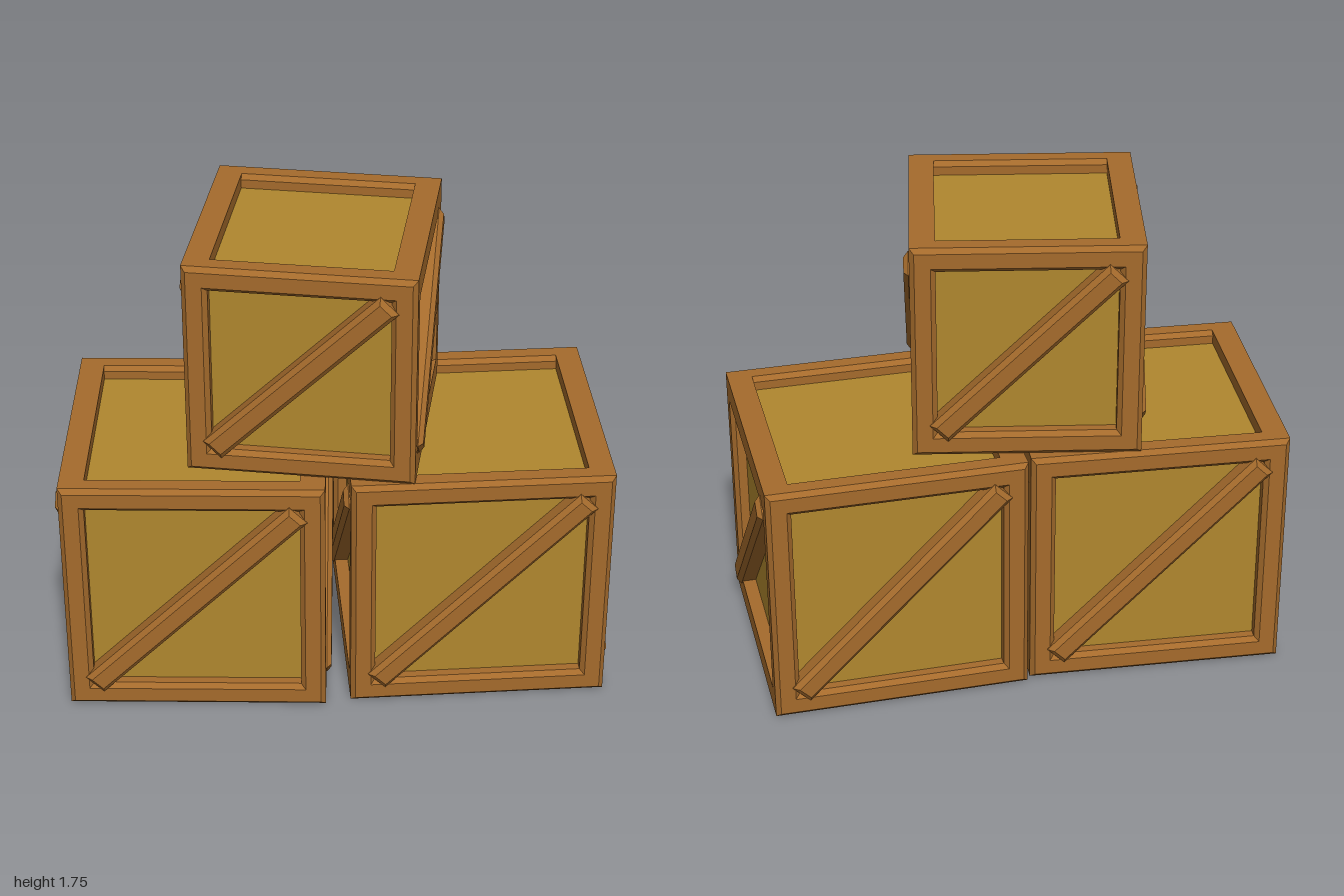
import * as THREE from 'three';

const BEAM = 0.09;   // timber thickness
const BEVEL = 0.017; // chamfer on the timber edges

function rectPoints(w, h) {
  return [[-w / 2, -h / 2], [w / 2, -h / 2], [w / 2, h / 2], [-w / 2, h / 2]]
    .map(([x, y]) => new THREE.Vector2(x, y));
}

// Chamfered slab whose outer size matches the shape, centred on z
function chamferedSlab(shape, depth) {
  const geometry = new THREE.ExtrudeGeometry(shape, {
    depth: depth - 2 * BEVEL,
    bevelEnabled: true,
    bevelThickness: BEVEL,
    bevelSize: BEVEL,
    bevelOffset: -BEVEL,
    bevelSegments: 1,
  });
  geometry.translate(0, 0, BEVEL - depth / 2);
  return geometry;
}

function createCrate(name, size, wood, plank) {
  const crate = new THREE.Group();
  crate.name = name;
  const add = (partName, geometry, material, parent = crate) => {
    const mesh = new THREE.Mesh(geometry, material);
    mesh.name = partName;
    parent.add(mesh);
    return mesh;
  };

  // Recessed plank walls
  const inner = size - 0.1;
  add('panels', new THREE.BoxGeometry(inner, inner, inner), plank);

  // Chamfered square frames at front and back
  const frameShape = new THREE.Shape(rectPoints(size, size));
  const opening = size - 2 * BEAM;
  frameShape.holes.push(new THREE.Path(rectPoints(opening, opening).reverse()));
  const frameGeometry = chamferedSlab(frameShape, BEAM);
  const offset = (size - BEAM) / 2;
  for (const side of [1, -1]) {
    add(side > 0 ? 'frontFrame' : 'backFrame', frameGeometry, wood).position.z = side * offset;
  }

  // Plain rails joining the two frames
  const railGeometry = new THREE.BoxGeometry(BEAM, BEAM, opening + 2 * BEVEL);
  for (const x of [-1, 1]) {
    for (const y of [-1, 1]) {
      add('cornerRail', railGeometry, wood).position.set(x * offset, y * offset, 0);
    }
  }

  // One diagonal brace on each of the four upright sides
  const braceWidth = 0.09;
  const braceDepth = 0.09;
  const braceLength = (size - 0.125) * Math.SQRT2 - braceWidth;
  const braceGeometry = chamferedSlab(new THREE.Shape(rectPoints(braceLength, braceWidth)), braceDepth);
  for (let i = 0; i < 4; i++) {
    const side = new THREE.Group();
    side.name = 'braceSide';
    side.rotation.y = i * Math.PI / 2;
    const brace = add('diagonalBrace', braceGeometry, wood, side);
    brace.rotation.z = Math.PI / 4;
    brace.position.z = size / 2 + 0.02 - braceDepth / 2;
    crate.add(side);
  }
  return crate;
}

export function createModel() {
  const wood = new THREE.MeshStandardMaterial({ color: 0xa56b2c });
  wood.name = 'brown timber';
  const plank = new THREE.MeshStandardMaterial({ color: 0xb0872e });
  plank.name = 'ochre planks';

  const model = new THREE.Group();
  model.name = 'crateStack';
  // name, size, x, base y, z, turn
  const crates = [
    ['rightCrate', 0.94, -0.51, 0, 0.045, 0],
    ['leftCrate', 0.94, 0.48, 0, -0.02, 0.087],
    ['topCrate', 0.81, -0.08, 0.94, 0.02, -0.122],
  ];
  for (const [name, size, x, y, z, turn] of crates) {
    const crate = createCrate(name, size, wood, plank);
    crate.position.set(x, y + size / 2, z);
    crate.rotation.y = turn;
    model.add(crate);
  }
  return model;
}
